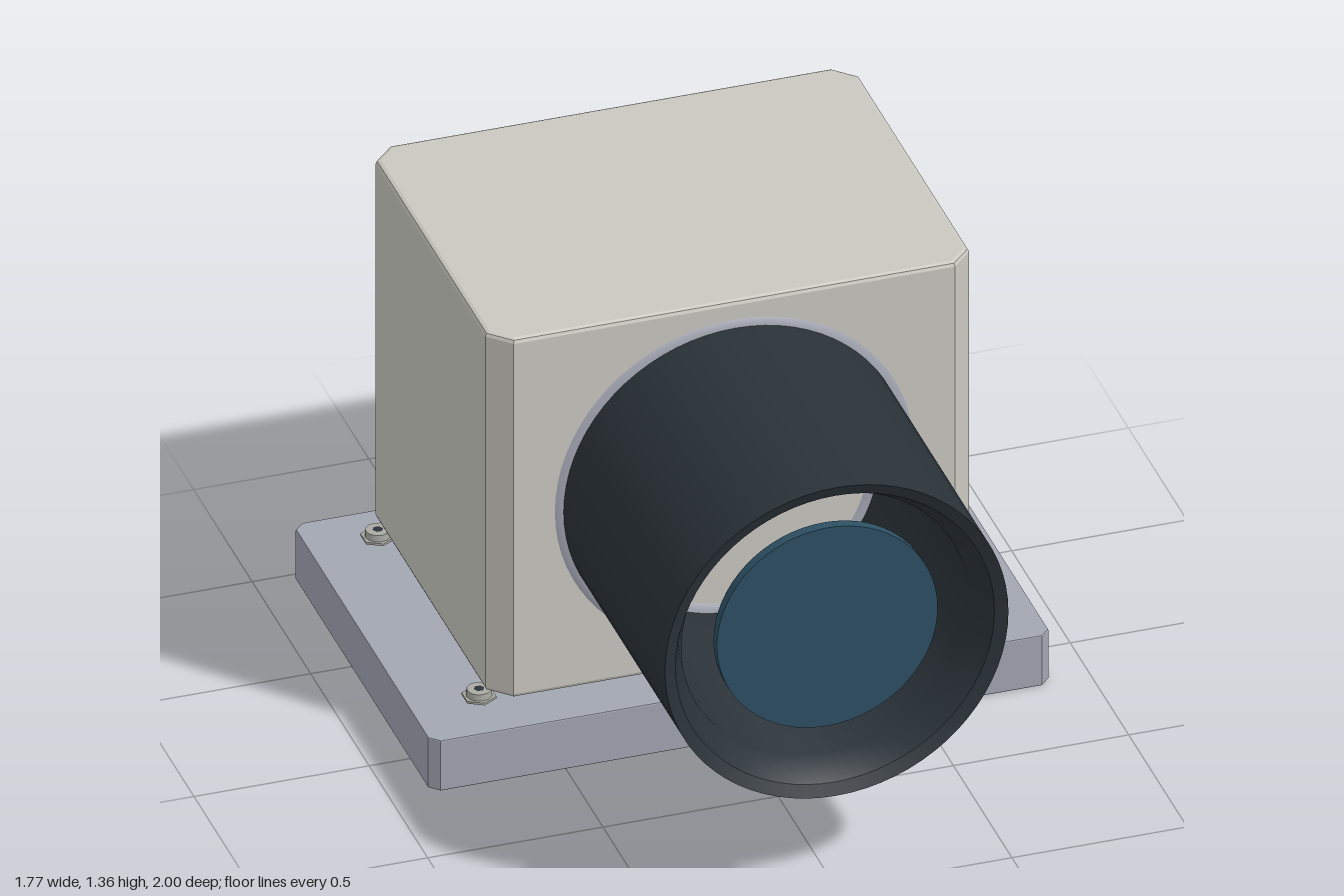
import * as THREE from 'three';
import { toCreasedNormals } from 'three/addons/utils/BufferGeometryUtils.js';

const flat = (name, color) => {
  const m = new THREE.MeshStandardMaterial({ color });
  m.name = name;
  return m;
};

// Upright block with cut corners and softened top and bottom edges
function cutCornerBlock(width, depth, height, cut, edge) {
  const x = width / 2 - edge, z = depth / 2 - edge, c = cut;
  const shape = new THREE.Shape([
    [x - c, -z], [x, -z + c], [x, z - c], [x - c, z],
    [-x + c, z], [-x, z - c], [-x, -z + c], [-x + c, -z],
  ].map(([a, b]) => new THREE.Vector2(a, b)));
  const geo = new THREE.ExtrudeGeometry(shape, {
    depth: height - 2 * edge, bevelEnabled: true,
    bevelSize: edge, bevelThickness: edge, bevelSegments: 2,
  });
  return geo.translate(0, 0, edge).rotateX(-Math.PI / 2);
}

// Turned part around the z axis from [radius, z] points
function turned(points) {
  const geo = new THREE.LatheGeometry(points.map(([r, z]) => new THREE.Vector2(r, z)), 72);
  return toCreasedNormals(geo.rotateX(Math.PI / 2), 0.5);
}

export function createModel() {
  const model = new THREE.Group();
  const beige = flat('warm grey casing', 0xc9c8c0);
  const grey = flat('blue grey metal', 0xa2a6b2);
  const black = flat('dark barrel', 0x2a3238);
  const glass = flat('blue glass', 0x2d5064);
  const steel = flat('bolt steel', 0xa9aaa3);

  const add = (parent, name, geo, mat, x = 0, y = 0, z = 0) => {
    const mesh = new THREE.Mesh(geo, mat);
    mesh.name = name;
    mesh.position.set(x, y, z);
    parent.add(mesh);
    return mesh;
  };

  // Base and casing, with an open gap between them
  add(model, 'basePlate', cutCornerBlock(1.77, 1.185, 0.16, 0.025, 0.004), grey, 0, 0, -0.4075);
  add(model, 'housing', cutCornerBlock(1.38, 1.06, 1.14, 0.053, 0.013), beige, 0, 0.215, -0.405);

  // Hollow barrel with a flared mouth, its mounting ring and the glass
  const axisY = 0.785;
  add(model, 'barrel', turned([
    [0.49, 0.12], [0.49, 1], [0.455, 0.985], [0.41, 0.9], [0.41, 0.12],
  ]), black, 0, axisY);
  add(model, 'mountRing', turned([
    [0.512, 0.12], [0.512, 0.125], [0.495, 0.134], [0.402, 0.134], [0.385, 0.125], [0.385, 0.12],
  ]), grey, 0, axisY);
  add(model, 'lens', new THREE.CylinderGeometry(0.315, 0.315, 0.03, 64).rotateX(Math.PI / 2),
    glass, 0, axisY, 0.905);

  // Hex bolts at the four corners
  const collar = new THREE.CylinderGeometry(0.048, 0.048, 0.007, 6);
  const head = new THREE.CylinderGeometry(0.034, 0.036, 0.02, 12);
  const socket = new THREE.CircleGeometry(0.015, 6).rotateX(-Math.PI / 2);
  for (const x of [-0.695, 0.695]) {
    for (const z of [-0.84, 0.025]) {
      const bolt = new THREE.Group();
      bolt.name = 'bolt';
      bolt.position.set(x, 0.175, z);
      add(bolt, 'boltCollar', collar, steel, 0, 0.0035);
      add(bolt, 'boltHead', head, steel, 0, 0.016);
      add(bolt, 'boltSocket', socket, black, 0, 0.0265);
      model.add(bolt);
    }
  }
  return model;
}
